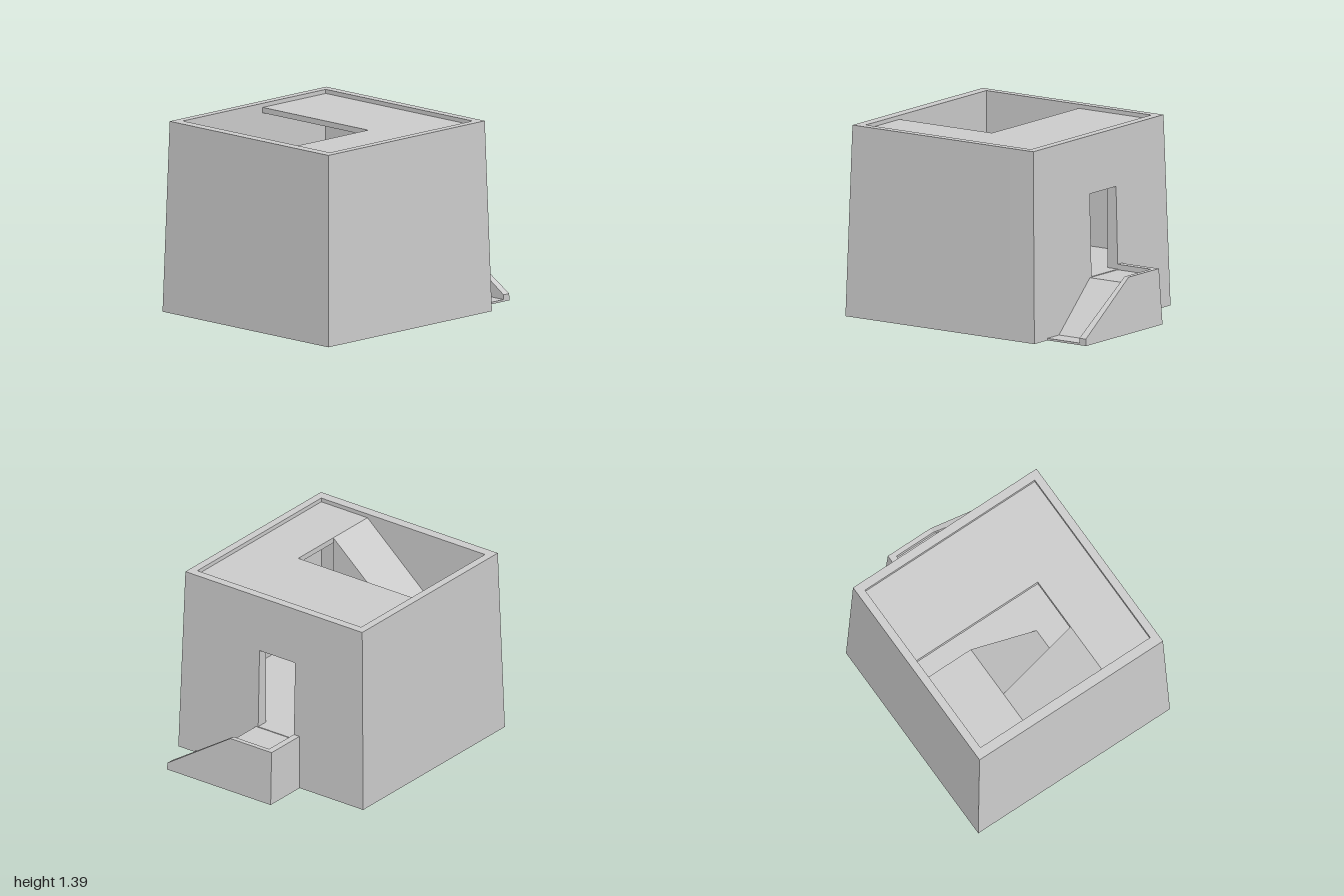
import * as THREE from 'three';

const material = new THREE.MeshStandardMaterial({ color: 0xcccccc });
const HEIGHT = 1.39, HALF = 0.83, BACK = -0.66, FRONT = 1;
const IN_X = 0.735, IN_BACK = -0.56, IN_FRONT = 0.89;

// Leans the outermost faces inward as they rise
function batter(geometry) {
  const p = geometry.attributes.position;
  for (let i = 0; i < p.count; i++) {
    const x = p.getX(i), y = p.getY(i), z = p.getZ(i);
    const lean = 0.036 * y / HEIGHT;
    if (Math.abs(x) > HALF - 0.001) p.setX(i, x - Math.sign(x) * lean);
    if (z > FRONT - 0.001) p.setZ(i, z - lean);
    else if (z < -0.99) p.setZ(i, z + 0.06 * y);
    else if (Math.abs(z - BACK) < 0.001) p.setZ(i, z + lean);
  }
  geometry.computeVertexNormals();
  return geometry;
}

function add(group, name, geometry) {
  const mesh = new THREE.Mesh(batter(geometry), material);
  mesh.name = name;
  group.add(mesh);
}

function block(x0, x1, y0, y1, z0, z1) {
  return new THREE.BoxGeometry(x1 - x0, y1 - y0, z1 - z0)
    .translate((x0 + x1) / 2, (y0 + y1) / 2, (z0 + z1) / 2);
}

// Side profile in x and y, pushed from z0 to z1
function slab(points, z0, z1, hole) {
  const toVectors = list => list.map(([x, y]) => new THREE.Vector2(x, y));
  const shape = new THREE.Shape(toVectors(points));
  if (hole) shape.holes.push(new THREE.Path(toVectors(hole)));
  return new THREE.ExtrudeGeometry(shape, { depth: z1 - z0, bevelEnabled: false }).translate(0, 0, z0);
}

export function createModel() {
  const model = new THREE.Group();
  model.name = 'house';

  // Walls, with a raised doorway at the back
  const walls = new THREE.Group();
  walls.name = 'walls';
  add(walls, 'frontWall', block(-HALF, HALF, 0, HEIGHT, IN_FRONT, FRONT));
  add(walls, 'leftWall', block(IN_X, HALF, 0, HEIGHT, IN_BACK, IN_FRONT));
  add(walls, 'rightWall', block(-HALF, -IN_X, 0, HEIGHT, IN_BACK, IN_FRONT));
  add(walls, 'backWall', slab(
    [[-HALF, 0], [HALF, 0], [HALF, HEIGHT], [-HALF, HEIGHT]], BACK, IN_BACK,
    [[-0.2, 0.37], [-0.2, 0.97], [0.12, 0.97], [0.12, 0.37]]));
  model.add(walls);

  // Raised floor and the L-shaped roof around the stairwell
  add(model, 'floor', block(-IN_X, IN_X, 0.33, 0.37, IN_BACK, IN_FRONT));
  const roof = new THREE.Group();
  roof.name = 'roof';
  add(roof, 'backRoof', block(-IN_X, IN_X, 1.32, 1.36, IN_BACK, 0.08));
  add(roof, 'sideRoof', block(0.32, IN_X, 1.32, 1.36, 0.08, IN_FRONT));
  model.add(roof);

  // Inner ramp: lower flight, landing, upper flight turning back
  const stairs = new THREE.Group();
  stairs.name = 'innerRamp';
  add(stairs, 'lowerFlight', slab([[-IN_X, 0.36], [0.32, 0.36], [-0.26, 0.86], [-IN_X, 0.86]], 0.08, 0.49));
  add(stairs, 'upperFlight', slab([[-IN_X, 0.36], [0.32, 0.36], [0.32, 1.36], [-0.26, 0.86], [-IN_X, 0.86]], 0.49, IN_FRONT));
  model.add(stairs);

  // Entrance ramp with its parapet
  const entrance = new THREE.Group();
  entrance.name = 'entranceRamp';
  add(entrance, 'ramp', slab([[-0.2, 0], [0.67, 0], [0.67, 0.015], [0.53, 0.015], [0.14, 0.365], [-0.2, 0.365]], -0.94, -0.62));
  add(entrance, 'parapet', slab([[-0.26, 0], [0.67, 0], [0.67, 0.05], [0.12, 0.405], [-0.25, 0.405]], -1, -0.94));
  add(entrance, 'endWall', slab([[-0.26, 0], [-0.2, 0], [-0.2, 0.405], [-0.25, 0.405]], -0.94, -0.62));
  model.add(entrance);

  return model;
}
